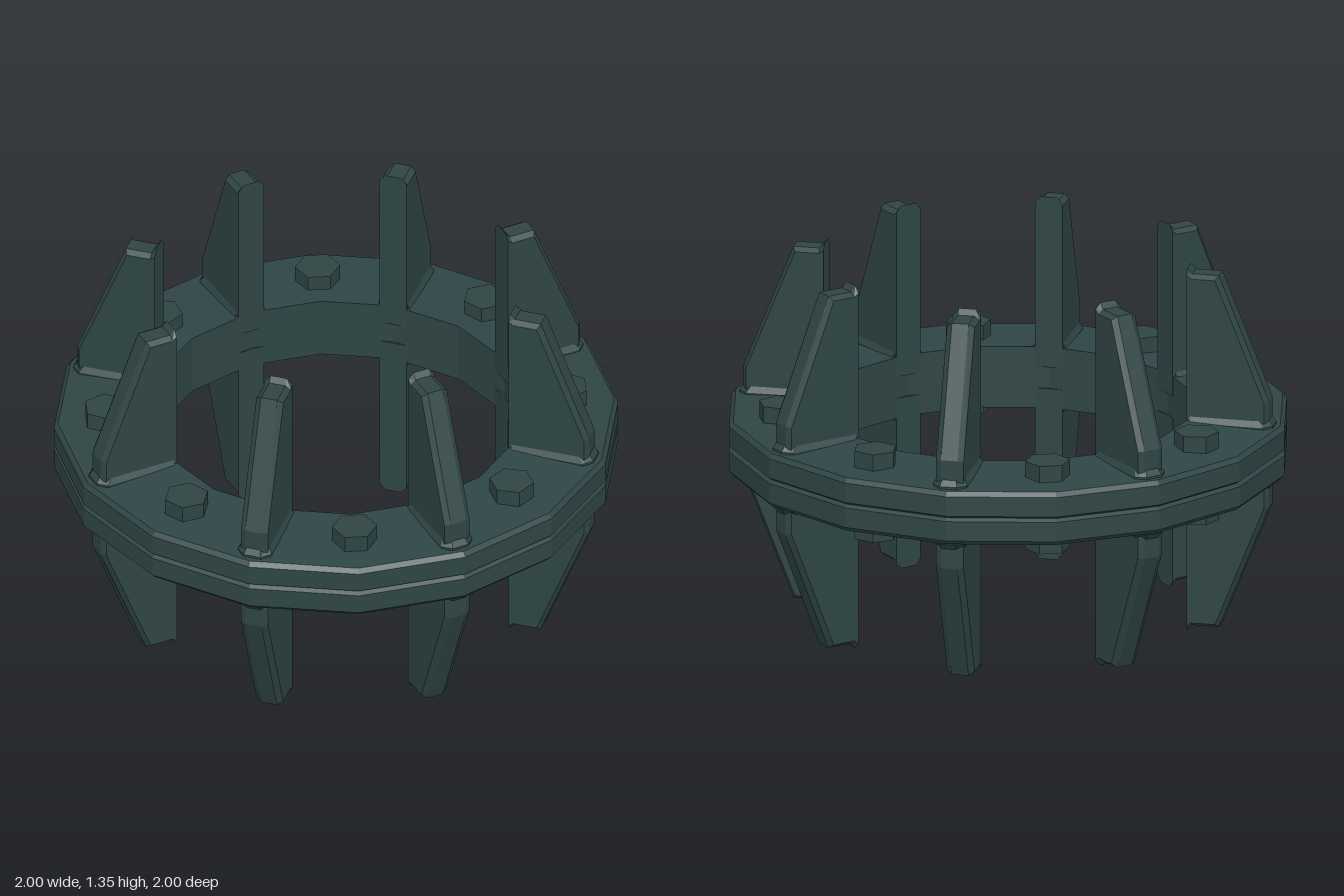
import * as THREE from 'three';

const MID = 0.6725; // height of the joint between the two flanges

// Skin a stack of matching loops and close both ends
function loft(loops) {
  const n = loops[0].length;
  const last = (loops.length - 1) * n;
  const index = [];
  for (let i = 0; i < loops.length - 1; i++) {
    for (let j = 0; j < n; j++) {
      const a = i * n + j, b = i * n + (j + 1) % n;
      index.push(a, b, b + n, a, b + n, a + n);
    }
  }
  for (let j = 1; j < n - 1; j++) {
    index.push(0, j + 1, j);
    index.push(last, last + j, last + j + 1);
  }
  const geo = new THREE.BufferGeometry();
  geo.setAttribute('position', new THREE.Float32BufferAttribute(loops.flat(2), 3));
  geo.setIndex(index);
  const flat = geo.toNonIndexed();
  flat.computeVertexNormals();
  return flat;
}

// Tapered fin with chamfered outer edges and a small lip on the inner corner
function ribGeometry() {
  const core = [[0.657, 0.04], [0.95, 0.04], [0.95, 0.2], [0.77, 0.652], [0.674, 0.652], [0.657, 0.6725]];
  const side = [[0.657, 0.04], [0.937, 0.04], [0.937, 0.196], [0.76, 0.638], [0.674, 0.638], [0.657, 0.65]];
  const layer = (profile, z) => profile.map(([x, y]) => [x, y, z]);
  return loft([layer(side, -0.05), layer(core, -0.03), layer(core, 0.03), layer(side, 0.05)]);
}

// Low weld bead around the foot of a fin
function weldGeometry() {
  const layer = (w, end, y) => [
    [0.668, y, w], [end - 0.03, y, w], [end, y, w * 0.5],
    [end, y, -w * 0.5], [end - 0.03, y, -w], [0.668, y, -w],
  ];
  return loft([layer(0.062, 0.965, 0.07), layer(0.062, 0.965, 0.107), layer(0.05, 0.95, 0.128)]);
}

export function createModel() {
  const model = new THREE.Group();
  model.name = 'flangedRing';
  const material = new THREE.MeshStandardMaterial({ color: 0x2f4545, flatShading: true });

  const add = (parent, name, geometry) => {
    const mesh = new THREE.Mesh(geometry, material);
    mesh.name = name;
    parent.add(mesh);
    return mesh;
  };

  // Pair of sixteen-sided flanges with a groove at the joint
  const upper = [[0.985, 0], [1, 0.01], [1, 0.082], [0.985, 0.098], [0.667, 0.113]];
  const lower = upper.slice(1).reverse().map(([r, y]) => [r, -y]);
  const profile = [...lower, ...upper, lower[0]].map(([r, y]) => new THREE.Vector2(r, y));
  add(model, 'flanges', new THREE.LatheGeometry(profile, 16)).position.y = MID;

  const rib = ribGeometry();
  const weld = weldGeometry();
  const bolt = new THREE.CylinderGeometry(0.08, 0.08, 0.1, 6);

  // Fins and bolts, repeated above and below the joint
  for (const [name, flip] of [['upperHalf', 0], ['lowerHalf', Math.PI]]) {
    const half = new THREE.Group();
    half.name = name;
    half.position.y = MID;
    half.rotation.x = flip;
    for (let i = 0; i < 8; i++) {
      const fin = new THREE.Group();
      fin.name = 'fin';
      fin.rotation.y = i * Math.PI / 4;
      add(fin, 'rib', rib);
      add(fin, 'weld', weld);
      half.add(fin);

      const arm = new THREE.Group();
      arm.name = 'boltPosition';
      arm.rotation.y = (i + 0.5) * Math.PI / 4;
      add(arm, 'boltHead', bolt).position.set(0.815, 0.113, 0);
      half.add(arm);
    }
    model.add(half);
  }
  return model;
}
